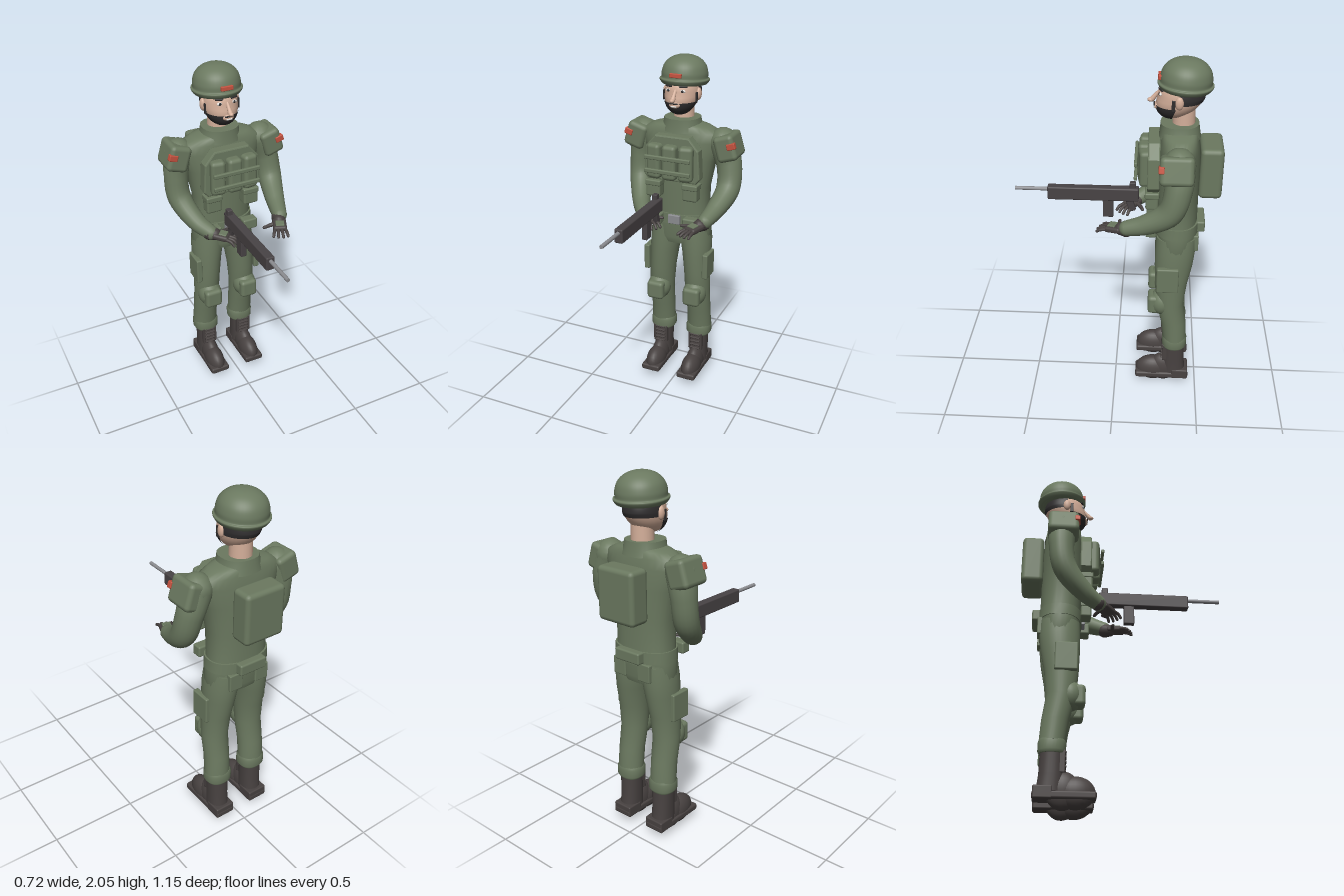
import * as THREE from 'three';
import { RoundedBoxGeometry } from 'three/addons/geometries/RoundedBoxGeometry.js';

const paint = (name, color) => Object.assign(new THREE.MeshStandardMaterial({ color }), { name });

export function createModel() {
  const model = new THREE.Group();
  model.name = 'soldier';
  const green = paint('uniform green', 0x6b7960), dark = paint('boot brown', 0x484241);
  const gun = paint('gunmetal', 0x484345), skin = paint('skin', 0xd3ae99);
  const hair = paint('hair', 0x2f2d2e), red = paint('red patch', 0xc4523f);
  const steel = paint('steel', 0x8b8c90), white = paint('white', 0xeeeae6);
  const V = (x, y, z) => new THREE.Vector3(x, y, z);

  const add = (parent, name, geo, mat, x = 0, y = 0, z = 0) => {
    const m = new THREE.Mesh(geo, mat);
    m.name = name;
    m.position.set(x, y, z);
    parent.add(m);
    return m;
  };
  const box = (parent, name, mat, w, h, d, x, y, z, r = 0.01) =>
    add(parent, name, new RoundedBoxGeometry(w, h, d, 2, Math.min(r, w / 2.1, h / 2.1, d / 2.1)), mat, x, y, z);
  const ball = (parent, name, mat, rx, ry, rz, x, y, z) =>
    add(parent, name, new THREE.SphereGeometry(1, 24, 16).scale(rx, ry, rz), mat, x, y, z);

  // Capped skin over horizontal sections [y, cx, rx, cz, rz]
  const loft = (parent, name, mat, sections, power = 2.3) => {
    const N = 32, a = sections[0], b = sections.at(-1);
    const tip = s => [s[0], s[1], 0, s[3], 0];
    const rows = [tip(a), a, ...sections, b, tip(b)];
    const pos = [], idx = [];
    const bend = v => Math.sign(v) * Math.pow(Math.abs(v), 2 / power);
    rows.forEach(([y, cx, rx, cz, rz], i) => {
      for (let j = 0; j < N; j++) {
        const t = j / N * Math.PI * 2, n = (j + 1) % N;
        pos.push(cx + rx * bend(Math.cos(t)), y, cz + rz * bend(Math.sin(t)));
        if (i === rows.length - 1 || i === 1 || i === rows.length - 3) continue;
        const p = i * N + j, q = i * N + n;
        idx.push(p, p + N, q, q, p + N, q + N);
      }
    });
    const g = new THREE.BufferGeometry();
    g.setAttribute('position', new THREE.Float32BufferAttribute(pos, 3));
    g.setIndex(idx);
    g.computeVertexNormals();
    return add(parent, name, g, mat);
  };

  // Round limb of changing radius along a curve, with round ends
  const limb = (parent, name, mat, points, radii, steps = 20) => {
    const curve = new THREE.CatmullRomCurve3(points), sides = 18;
    const g = new THREE.TubeGeometry(curve, steps, 1, sides), p = g.attributes.position, v = V(0, 0, 0);
    for (let i = 0; i <= steps; i++) {
      const c = curve.getPointAt(i / steps), f = i / steps * (radii.length - 1), k = Math.min(Math.floor(f), radii.length - 2);
      const r = THREE.MathUtils.lerp(radii[k], radii[k + 1], f - k);
      for (let j = 0; j <= sides; j++) {
        const n = i * (sides + 1) + j;
        v.fromBufferAttribute(p, n).sub(c).multiplyScalar(r).add(c);
        p.setXYZ(n, v.x, v.y, v.z);
      }
    }
    add(parent, name, g, mat);
    [[points[0], radii[0]], [points.at(-1), radii.at(-1)]].forEach(([c, r]) =>
      add(parent, name + 'End', new THREE.SphereGeometry(r, 14, 10), mat, c.x, c.y, c.z));
  };

  const body = new THREE.Group();
  body.name = 'body';
  body.position.x = -0.016;
  model.add(body);

  // Jacket, collar and hips
  loft(body, 'jacket', green, [[1.0, 0, .182, -.345, .118], [1.1, 0, .174, -.342, .115], [1.25, 0, .176, -.338, .118],
    [1.42, 0, .21, -.338, .118], [1.53, 0, .25, -.338, .11], [1.58, 0, .24, -.338, .1], [1.61, 0, .17, -.338, .095], [1.625, 0, .1, -.338, .085]]);
  loft(body, 'collar', green, [[1.58, 0, .125, -.338, .112], [1.615, 0, .11, -.337, .106], [1.655, 0, .104, -.335, .102]]);
  loft(body, 'hips', green, [[.89, 0, .16, -.342, .1], [.93, 0, .19, -.342, .114], [1.03, 0, .182, -.343, .12]]);
  loft(body, 'belt', green, [[1.02, 0, .187, -.343, .125], [1.085, 0, .183, -.343, .125]]);
  box(body, 'buckle', steel, .075, .055, .02, .004, 1.057, -.21, .004);
  box(body, 'rearBeltPouch', green, .17, .065, .05, 0, 1.055, -.475);

  // Chest rig
  const plate = new THREE.Shape([[-.165, 1.34], [-.145, 1.315], [.145, 1.315], [.165, 1.34], [.155, 1.5], [.1, 1.565], [-.1, 1.565], [-.155, 1.5]]
    .map(p => new THREE.Vector2(...p)));
  add(body, 'chestPlate', new THREE.ExtrudeGeometry(plate, { depth: .05, bevelSize: .008, bevelThickness: .008, bevelSegments: 2 }), green, 0, 0, -.23);
  for (const i of [-1, 0, 1]) {
    box(body, 'magazinePouch', green, .085, .205, .07, i * .096, 1.428, -.152 - Math.abs(i) * .008, .022).rotation.y = i * .15;
  }
  for (const y of [1.46, 1.38]) box(body, 'chestStrap', green, .28, .025, .018, 0, y, -.109, .006);
  box(body, 'backpack', green, .245, .29, .125, 0, 1.4, -.512, .025);

  // Head
  const head = new THREE.Group();
  head.name = 'head';
  head.position.set(0, 1.8, -.335);
  body.add(head);
  const skull = (name, mat, s, phi, phiLen, th, thLen) => {
    const g = new THREE.SphereGeometry(1, 32, 24, phi, phiLen, th, thLen).scale(.1 * s, .12 * s, .122 * s);
    const p = g.attributes.position;
    for (let i = 0; i < p.count; i++) p.setZ(i, p.getZ(i) + .35 * Math.max(0, -p.getY(i)));
    g.computeVertexNormals();
    return add(head, name, g, mat);
  };
  skull('face', skin, 1, 0, Math.PI * 2, 0, Math.PI);
  skull('beard', hair, 1.035, .1, Math.PI - .2, 1.93, Math.PI - 1.93);
  skull('hairBack', hair, 1.03, Math.PI - .1, Math.PI + .2, 1.15, .6);
  ball(head, 'mouthSkin', skin, .034, .018, .014, 0, -.055, .124);
  box(head, 'teeth', white, .034, .009, .008, 0, -.062, .136, .003);
  box(head, 'moustache', hair, .05, .008, .008, 0, -.046, .137, .003);
  limb(head, 'nose', skin, [V(0, .025, .113), V(0, -.02, .148)], [.008, .014], 4);
  ball(head, 'noseTip', skin, .014, .012, .018, 0, -.025, .156);
  for (const s of [-1, 1]) {
    ball(head, 'ear', skin, .016, .035, .022, s * .1, -.005, .01);
    ball(head, 'eyeWhite', white, .017, .009, .008, s * .042, .022, .107);
    ball(head, 'pupil', hair, .007, .008, .005, s * .042, .022, .113);
    box(head, 'eyebrow', hair, .045, .01, .01, s * .044, .045, .104, .004).rotation.y = s * .35;
    box(head, 'sideburn', hair, .008, .06, .018, s * .099, -.02, .04, .003);
  }
  add(body, 'neck', new THREE.CylinderGeometry(.058, .062, .14, 24), skin, 0, 1.67, -.355);

  // Helmet
  const helmet = new THREE.Group();
  helmet.name = 'helmet';
  helmet.position.set(0, 1.845, -.355);
  helmet.rotation.x = -.06;
  body.add(helmet);
  const dome = [[.105, .005], [.125, -.005], [.141, .015], [.141, .025], [.132, .03], [.131, .06], [.118, .1], [.088, .132], [.045, .151], [0, .156]];
  const spline = new THREE.SplineCurve(dome.map(p => new THREE.Vector2(...p))).getPoints(40);
  spline.forEach(p => { p.x = Math.max(0, p.x); });
  const shell = new THREE.LatheGeometry(spline, 40).scale(1, 1, 1.03);
  add(helmet, 'helmetShell', shell, green);
  add(helmet, 'helmetInside', new THREE.CircleGeometry(.125, 32).rotateX(Math.PI / 2), green, 0, .001, 0);
  box(helmet, 'helmetPatch', red, .07, .024, .02, 0, .052, .135, .004);

  // Parts repeated on both sides
  for (const s of [-1, 1]) {
    box(body, 'lowerPouch', green, .09, .1, .07, s * .115, 1.25, -.2, .012);
    box(body, 'lowerPouchFlap', green, .096, .035, .078, s * .115, 1.285, -.2, .008);
    box(body, 'beltPouch', green, .09, .065, .06, s * .115, 1.055, -.2);
    box(body, 'rearPocket', green, .085, .1, .03, s * .085, .97, -.452, .006);
    loft(body, 'trouserLeg', green, [[.3, s * .124, .076, -.36, .07], [.42, s * .122, .074, -.348, .074], [.56, s * .12, .077, -.322, .08],
      [.7, s * .114, .08, -.325, .094], [.82, s * .106, .087, -.335, .108], [.91, s * .098, .095, -.34, .113], [1.0, s * .09, .09, -.343, .112]], 2);
    box(body, 'thighPocket', green, .035, .16, .125, s * .192, .76, -.302, .008);
    ball(body, 'kneePadBase', green, .073, .085, .07, s * .12, .56, -.275);
    box(body, 'kneePad', green, .108, .118, .075, s * .12, .555, -.23, .022);
    loft(body, 'trouserCuff', green, [[.235, s * .122, .07, -.36, .066], [.25, s * .122, .079, -.36, .074], [.295, s * .122, .079, -.36, .074], [.31, s * .122, .072, -.36, .068]]);

    // Boot
    const x = s * .122;
    loft(body, 'bootShaft', dark, [[.04, x, .058, -.365, .07], [.13, x, .057, -.36, .064], [.26, x, .06, -.36, .061]]);
    ball(body, 'bootToe', dark, .058, .085, .105, x, .04, -.235);
    ball(body, 'bootInstep', dark, .052, .1, .09, x, .05, -.3);
    box(body, 'bootSole', dark, .122, .04, .325, x, .02, -.29, .012);
    box(body, 'bootHeel', dark, .122, .066, .1, x, .033, -.4, .008);
    for (let i = 0; i < 5; i++) box(body, 'lace', dark, .065, .011, .022, x, .145 + i * .025, -.294, .004);
    for (const e of [-1, 1]) box(body, 'laceFlap', dark, .012, .12, .03, x + e * .04, .195, -.305, .004);
  }

  // Arms and shoulder pads
  limb(model, 'leftArm', green, [V(.235, 1.53, -.335), V(.277, 1.4, -.335), V(.288, 1.27, -.295), V(.26, 1.18, -.17), V(.236, 1.14, -.07)], [.085, .074, .07, .058, .043]);
  limb(model, 'rightArm', green, [V(-.265, 1.53, -.345), V(-.283, 1.4, -.35), V(-.28, 1.26, -.325), V(-.225, 1.14, -.21), V(-.175, 1.1, -.13)], [.085, .07, .068, .057, .043]);
  [[1, .276, 1.515, -.322, .12], [-1, -.288, 1.525, -.342, .125]].forEach(([s, x, y, z, w]) => {
    const pad = new THREE.Group();
    pad.name = 'shoulderPad';
    pad.position.set(x, y, z);
    pad.rotation.z = s * .3;
    model.add(pad);
    box(pad, 'padShell', green, w, .15, .175, 0, 0, 0, .025);
    box(pad, 'padPatch', red, .05, .036, .03, s * .043, .01, .078, .005);
  });

  // Gloved hands; local +z runs along the fingers
  const hand = (name, s, x, y, z, turn, curl) => {
    const g = new THREE.Group();
    g.name = name;
    g.position.set(x, y, z);
    g.rotation.set(.12, turn, 0, 'YXZ');
    model.add(g);
    limb(g, 'gloveCuff', dark, [V(0, 0, -.075), V(0, 0, -.045)], [.042, .036], 4);
    box(g, 'palm', dark, .08, .034, .095, 0, 0, -.005, .014);
    box(g, 'handGuard', green, .05, .012, .045, 0, .018, .005, .004);
    for (let i = 0; i < 4; i++) {
      const fx = (i - 1.5) * .02, len = .055 - Math.abs(i - 1.5) * .007;
      limb(g, 'finger', dark, [V(fx, 0, .035), V(fx * 1.25, -.004, .04 + len * .6), V(fx * 1.4, -curl, .04 + len)], [.01, .009, .008], 8);
    }
    limb(g, 'thumb', dark, [V(-s * .03, 0, -.015), V(-s * .06, -.004, -.006), V(-s * .09, -.006, .008)], [.013, .011, .009], 8);
  };
  hand('leftHand', 1, .198, 1.118, .002, -.4, .012);
  hand('rightHand', -1, -.125, 1.09, -.085, .85, .02);

  // Rifle
  const rifle = new THREE.Group();
  rifle.name = 'rifle';
  rifle.position.x = -.07;
  model.add(rifle);
  box(rifle, 'receiver', gun, .05, .08, .52, 0, 1.18, .135, .008);
  box(rifle, 'magazine', gun, .034, .12, .06, 0, 1.09, .05, .005);
  box(rifle, 'grip', gun, .03, .08, .04, 0, 1.11, -.08, .008).rotation.x = .3;
  box(rifle, 'rearSight', gun, .03, .05, .035, -.008, 1.225, -.09, .005);
  add(rifle, 'barrel', new THREE.CylinderGeometry(.011, .011, .2, 16).rotateX(Math.PI / 2), steel, 0, 1.198, .48);
  return model;
}
